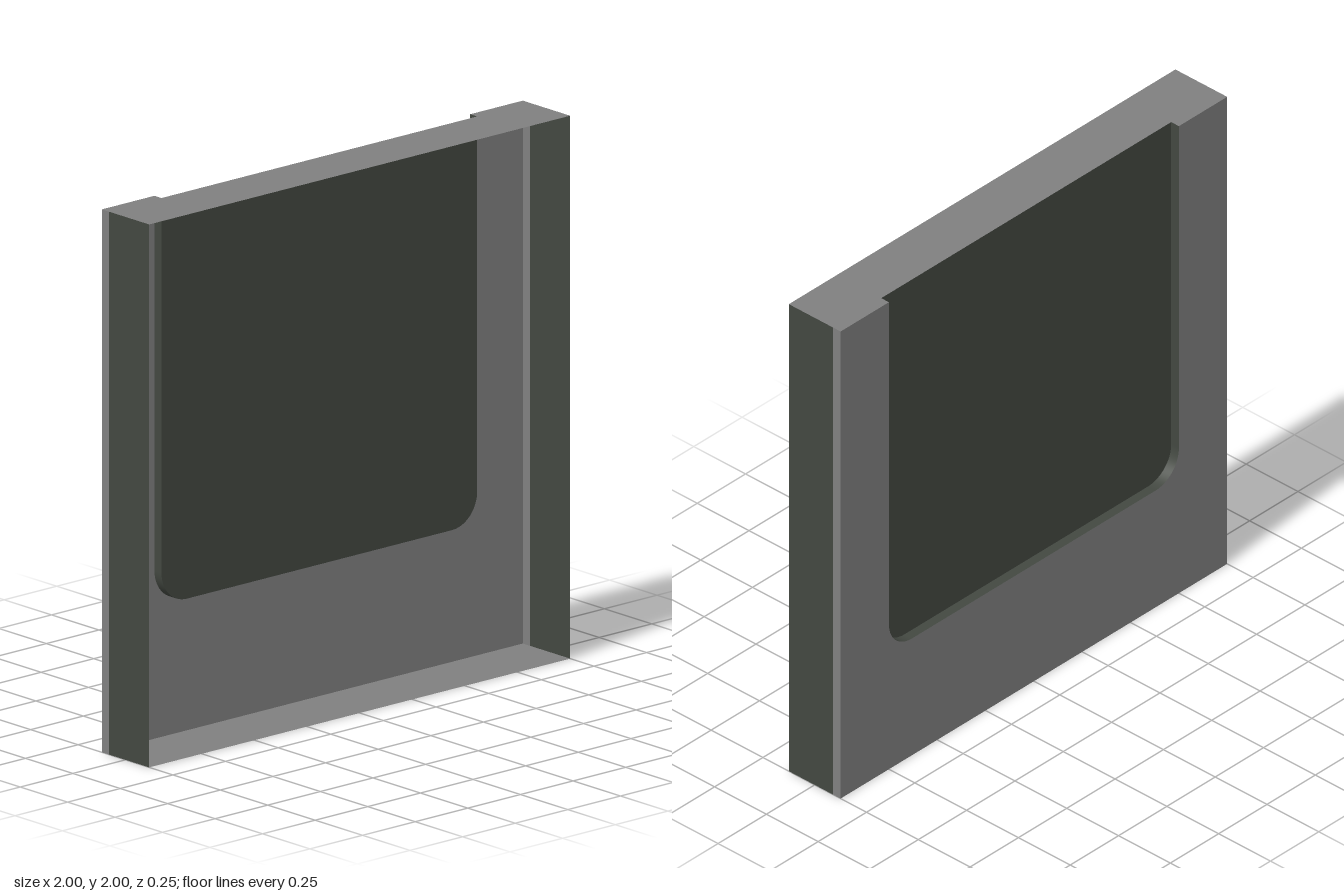
import * as THREE from 'three';

const D = 0.125;      // half depth of the tray
const STEP = -0.088;  // depth of the recessed panel
const W = 0.75, SILL = 0.5, R = 0.12;

const grey = new THREE.MeshStandardMaterial({ color: 0x808080, side: THREE.DoubleSide });
grey.name = 'grey';
const darkGreen = new THREE.MeshStandardMaterial({ color: 0x434841, side: THREE.DoubleSide });
darkGreen.name = 'dark green';

// Recess outline: down the left, round both corners, up the right
function recessPath(shape) {
  shape.lineTo(-W, 2);
  shape.lineTo(-W, SILL + R);
  shape.absarc(-W + R, SILL + R, R, Math.PI, 1.5 * Math.PI, false);
  shape.lineTo(W - R, SILL);
  shape.absarc(W - R, SILL + R, R, 1.5 * Math.PI, 2 * Math.PI, false);
  shape.lineTo(W, 2);
  return shape;
}

export function createModel() {
  const model = new THREE.Group();
  const add = (name, geometry, material) => {
    const mesh = new THREE.Mesh(geometry, material);
    mesh.name = name;
    model.add(mesh);
    return mesh;
  };

  // Back sheet surrounding the recess, facing backwards
  const frame = new THREE.Shape();
  frame.moveTo(1, 2);
  frame.lineTo(1, 0);
  frame.lineTo(-1, 0);
  frame.lineTo(-1, 2);
  recessPath(frame);
  add('backFrame', new THREE.ShapeGeometry(frame, 8), grey).position.z = -D;

  // Panel pressed forward from the back sheet
  const panel = new THREE.Shape();
  panel.moveTo(-W, 2);
  recessPath(panel);
  add('recessedPanel', new THREE.ShapeGeometry(panel, 8), darkGreen).position.z = STEP;

  // Rim joining panel and sheet, left open at the top
  const outline = new THREE.Path();
  outline.moveTo(-W, 2);
  recessPath(outline);
  const points = outline.getPoints(8).filter((p, i, a) => i === 0 || p.distanceTo(a[i - 1]) > 1e-5);
  const rim = new THREE.PlaneGeometry(1, 1, points.length - 1, 1);
  const pos = rim.attributes.position;
  for (let i = 0; i < pos.count; i++) {
    const p = points[i % points.length];
    pos.setXYZ(i, p.x, p.y, i < points.length ? STEP : -D);
  }
  rim.computeVertexNormals();
  add('recessRim', rim, darkGreen);

  // Side walls with a narrow grey strip at the back
  for (const [side, s] of [['left', 1], ['right', -1]]) {
    for (const [part, z0, z1, material] of [['Wall', STEP, D, darkGreen], ['Strip', -D, STEP, grey]]) {
      const wall = add(side + part, new THREE.PlaneGeometry(z1 - z0, 2), material);
      wall.rotation.y = s * Math.PI / 2;
      wall.position.set(s, 1, (z0 + z1) / 2);
    }
  }

  // Floor
  const floor = add('floor', new THREE.PlaneGeometry(2, 2 * D), grey);
  floor.rotation.x = Math.PI / 2;

  // Top wall, notched behind the recess (shape y becomes -z)
  const top = new THREE.Shape([
    [-1, -D], [1, -D], [1, D], [W, D], [W, -STEP], [-W, -STEP], [-W, D], [-1, D],
  ].map(([x, y]) => new THREE.Vector2(x, y)));
  const lid = add('topWall', new THREE.ShapeGeometry(top), grey);
  lid.rotation.x = -Math.PI / 2;
  lid.position.y = 2;

  return model;
}
